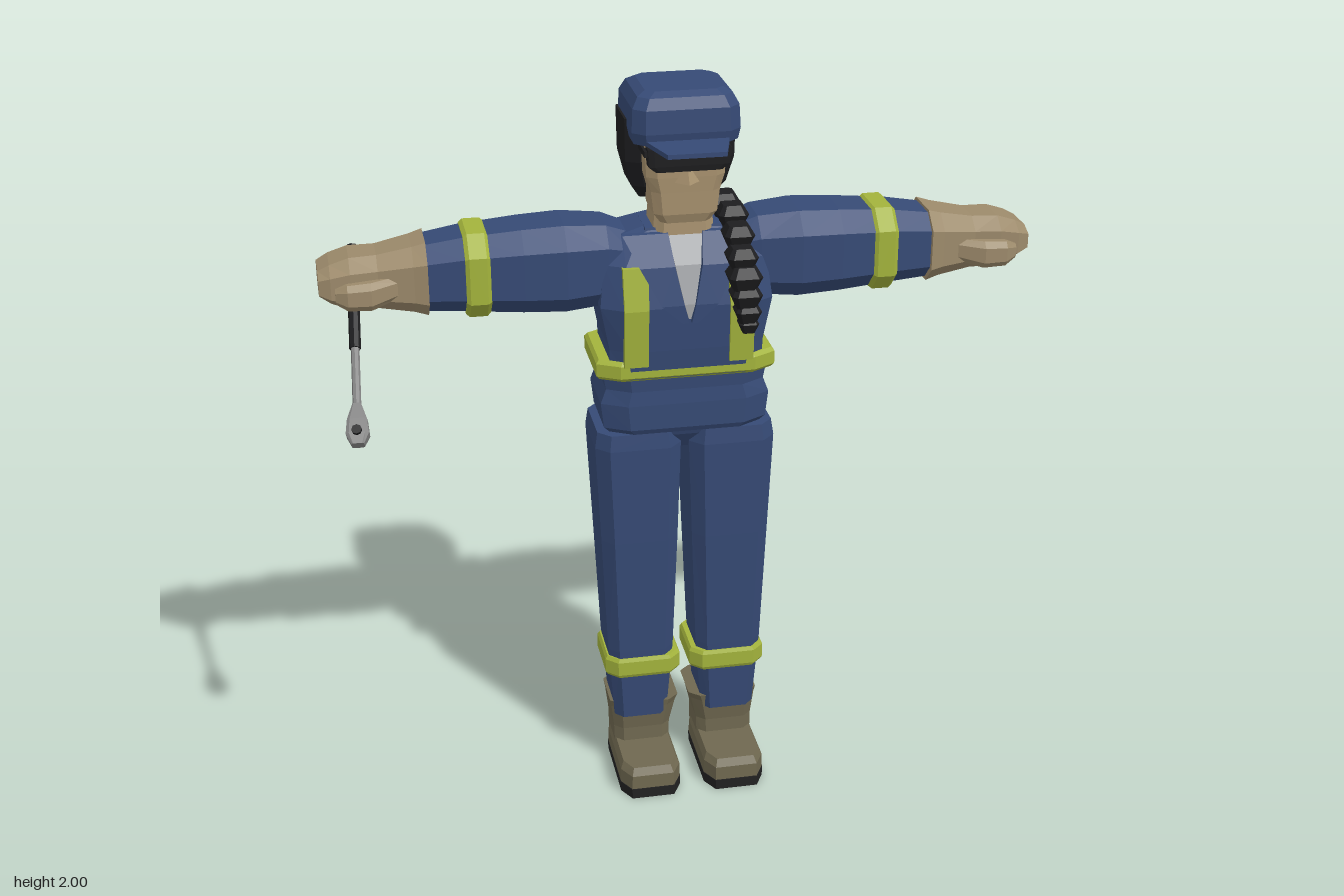
import * as THREE from 'three';

const paint = (name, color) => Object.assign(new THREE.MeshStandardMaterial({ color }), { name });
const M = {
  blue: paint('navy cloth', 0x364a75), yellow: paint('reflective yellow', 0xa3b33c),
  skin: paint('skin', 0xa8926f), glove: paint('tan leather', 0x9c8a6b), boot: paint('boot leather', 0x6f6850),
  sole: paint('sole rubber', 0x222222), black: paint('black hair and plastic', 0x1d1d1f),
  shirt: paint('grey shirt', 0xa3a5a8), metal: paint('tool steel', 0x858585),
};

// Closed faceted tube through sections [y, x, z, halfWidth, halfDepth]; c is the corner chamfer
function loft(sections, c = 0.3) {
  const k = 1 - c;
  const unit = c === 0 ? [[1, 1], [-1, 1], [-1, -1], [1, -1]]
    : [[1, k], [k, 1], [-k, 1], [-1, k], [-1, -k], [-k, -1], [k, -1], [1, -k]];
  const n = unit.length, p = [];
  const rings = sections.map(([y, x, z, w, d]) => unit.map(([u, v]) => [x + u * w, y, z + v * d]));
  const mid = ([y, x, z]) => [x, y, z];
  const last = rings.length - 1;
  for (let i = 0; i < n; i++) {
    const j = (i + 1) % n;
    for (let s = 0; s < last; s++) {
      const a = rings[s], b = rings[s + 1];
      p.push(...a[i], ...b[i], ...b[j], ...a[i], ...b[j], ...a[j]);
    }
    p.push(...mid(sections[0]), ...rings[0][i], ...rings[0][j]);
    p.push(...mid(sections[last]), ...rings[last][j], ...rings[last][i]);
  }
  const g = new THREE.BufferGeometry();
  g.setAttribute('position', new THREE.Float32BufferAttribute(p, 3));
  g.computeVertexNormals();
  return g;
}

// Same, running along +x through sections [x, y, z, halfHeight, halfDepth]
const loftX = (sections, c = 0.45) =>
  loft(sections.map(([x, y, z, h, d]) => [x, -y, z, h, d]), c).rotateZ(-Math.PI / 2);

// Mirror a geometry in x, keeping its faces outward
function mirror(geo) {
  const g = geo.index ? geo.toNonIndexed() : geo.clone();
  const a = g.attributes.position;
  for (let i = 0; i < a.count; i += 3) {
    const t = [0, 1, 2].map(j => [-a.getX(i + j), a.getY(i + j), a.getZ(i + j)]);
    [t[0], t[2], t[1]].forEach((v, j) => a.setXYZ(i + j, ...v));
  }
  g.computeVertexNormals();
  return g;
}

export function createModel() {
  const model = new THREE.Group();
  model.name = 'worker';
  const add = (name, geo, mat) => {
    const flat = geo.index ? geo.toNonIndexed() : geo;
    flat.computeVertexNormals();
    const m = new THREE.Mesh(flat, mat);
    m.name = name;
    model.add(m);
    return m;
  };
  const pair = (name, geo, mat) => {
    add('left' + name, geo, mat);
    add('right' + name, mirror(geo), mat);
  };
  const box = (w, h, d, x, y, z) => new THREE.BoxGeometry(w, h, d).translate(x, y, z);

  // Legs, knee bands and boots
  pair('Leg', loft([[0.18, 0.125, -0.09, 0.075, 0.085], [0.4, 0.125, -0.09, 0.092, 0.098],
    [0.75, 0.126, -0.093, 0.106, 0.115], [1.03, 0.128, -0.095, 0.117, 0.123], [1.075, 0.128, -0.095, 0.11, 0.118]]), M.blue);
  pair('LegBand', loft([[0.32, 0.12, -0.09, 0.1, 0.1], [0.33, 0.12, -0.09, 0.106, 0.105],
    [0.37, 0.12, -0.09, 0.106, 0.105], [0.38, 0.12, -0.09, 0.1, 0.1]]), M.yellow);
  pair('BootShaft', loft([[0.06, 0.12, -0.1, 0.078, 0.078], [0.13, 0.12, -0.1, 0.08, 0.075],
    [0.2, 0.116, -0.1, 0.092, 0.084], [0.22, 0.114, -0.1, 0.098, 0.088]]), M.boot);
  pair('BootFoot', loft([[0.03, 0.12, -0.02, 0.085, 0.158], [0.07, 0.12, -0.02, 0.084, 0.157],
    [0.09, 0.12, -0.025, 0.075, 0.148]]), M.boot);
  pair('BootSole', loft([[0, 0.12, -0.02, 0.085, 0.16], [0.03, 0.12, -0.02, 0.086, 0.16]]), M.sole);

  // Pelvis, jacket hem, belt and torso
  add('pelvis', loft([[1.01, 0, -0.095, 0.035, 0.07], [1.06, 0, -0.095, 0.13, 0.105],
    [1.1, 0, -0.095, 0.2, 0.12]]), M.blue);
  add('jacketHem', loft([[1.075, 0, -0.095, 0.205, 0.118], [1.09, 0, -0.095, 0.22, 0.126],
    [1.16, 0, -0.095, 0.228, 0.127], [1.2, 0, -0.095, 0.213, 0.124], [1.25, 0, -0.095, 0.222, 0.128]]), M.blue);
  add('belt', loft([[1.235, 0, -0.097, 0.232, 0.13], [1.245, 0, -0.097, 0.24, 0.138],
    [1.28, 0, -0.097, 0.24, 0.138], [1.29, 0, -0.097, 0.232, 0.13]], 0.25), M.yellow);
  add('torso', loft([[1.24, 0, -0.092, 0.205, 0.13], [1.32, 0, -0.09, 0.205, 0.138], [1.44, 0, -0.085, 0.228, 0.14],
    [1.55, 0, -0.095, 0.215, 0.125], [1.62, 0, -0.1, 0.16, 0.085], [1.635, 0, -0.1, 0.1, 0.07]], 0.25), M.blue);

  // Shirt opening, lapels and straps follow the chest slope
  add('shirt', loft([[1.41, 0, 0.055, 0.003, 0.006], [1.45, 0, 0.056, 0.014, 0.006],
    [1.55, 0, 0.032, 0.034, 0.006], [1.625, 0, -0.018, 0.046, 0.006]], 0), M.shirt);
  pair('Lapel', loft([[1.4, 0.012, 0.059, 0.008, 0.008], [1.45, 0.045, 0.06, 0.03, 0.008],
    [1.55, 0.082, 0.038, 0.046, 0.009], [1.625, 0.105, -0.012, 0.06, 0.01]], 0), M.blue);
  pair('ChestStrap', loft([[1.28, 0.14, 0.043, 0.032, 0.01], [1.44, 0.14, 0.055, 0.032, 0.01],
    [1.55, 0.138, 0.033, 0.034, 0.01]], 0), M.yellow);
  pair('CollarSide', loft([[1.58, 0.085, -0.085, 0.03, 0.07], [1.635, 0.085, -0.09, 0.016, 0.065]], 0), M.blue);

  // Crossed back straps, bowed outward in the middle
  const strap = new THREE.BoxGeometry(0.055, 0.37, 0.012, 1, 4, 1);
  const sp = strap.attributes.position;
  for (let i = 0; i < sp.count; i++) sp.setZ(i, sp.getZ(i) - 0.243 + 0.6 * sp.getY(i) ** 2);
  strap.rotateZ(0.75).translate(0, 1.425, 0);
  pair('BackStrap', strap, M.yellow);

  // Arms, sleeve bands and gloves
  pair('Sleeve', loftX([[0.14, 1.53, -0.1, 0.09, 0.09], [0.2, 1.535, -0.1, 0.108, 0.105],
    [0.31, 1.535, -0.1, 0.117, 0.12], [0.42, 1.535, -0.1, 0.112, 0.115],
    [0.57, 1.535, -0.1, 0.1, 0.104], [0.68, 1.53, -0.1, 0.088, 0.092]]), M.blue);
  pair('SleeveBand', loftX([[0.505, 1.533, -0.1, 0.105, 0.108], [0.515, 1.533, -0.1, 0.113, 0.115],
    [0.56, 1.533, -0.1, 0.113, 0.115], [0.57, 1.533, -0.1, 0.105, 0.108]]), M.yellow);
  pair('Glove', loftX([[0.665, 1.53, -0.1, 0.098, 0.107], [0.7, 1.53, -0.1, 0.088, 0.098],
    [0.79, 1.528, -0.1, 0.072, 0.083], [0.86, 1.528, -0.1, 0.07, 0.09],
    [0.91, 1.53, -0.1, 0.052, 0.09], [0.94, 1.532, -0.1, 0.034, 0.08]]), M.glove);
  pair('Thumb', loftX([[0.74, 1.52, -0.04, 0.03, 0.03], [0.81, 1.51, -0.012, 0.037, 0.032],
    [0.87, 1.51, -0.008, 0.034, 0.028], [0.9, 1.512, -0.015, 0.02, 0.018]]), M.glove);

  // Neck, head, nose and sunglasses
  add('neck', loft([[1.57, 0, -0.08, 0.085, 0.075], [1.68, 0, -0.08, 0.075, 0.07]]), M.skin);
  add('face', loft([[1.655, 0, -0.055, 0.065, 0.062], [1.68, 0, -0.055, 0.083, 0.072],
    [1.74, 0, -0.06, 0.09, 0.08], [1.78, 0, -0.06, 0.102, 0.083], [1.89, 0, -0.06, 0.108, 0.085]], 0.25), M.skin);
  add('nose', new THREE.ConeGeometry(0.034, 0.055, 4).translate(0, 1.795, 0.02), M.skin);
  add('sunglasses', loft([[1.805, 0, 0.035, 0.085, 0.018], [1.82, 0, 0.035, 0.104, 0.02],
    [1.865, 0, 0.035, 0.106, 0.02]], 0.15), M.black);
  pair('GlassesArm', box(0.01, 0.016, 0.1, 0.108, 1.85, -0.01), M.black);

  // Hair and braid hanging over the left shoulder
  add('hair', loft([[1.69, 0, -0.155, 0.1, 0.045], [1.73, 0, -0.145, 0.125, 0.072],
    [1.8, 0, -0.138, 0.143, 0.084], [1.915, 0, -0.135, 0.145, 0.09]], 0.25), M.black);
  [[0.118, 1.67, -0.085, 0.04], [0.128, 1.655, -0.03, 0.04], [0.13, 1.62, 0.035, 0.04], [0.13, 1.575, 0.08, 0.04],
    [0.135, 1.525, 0.09, 0.044], [0.14, 1.475, 0.09, 0.04], [0.145, 1.43, 0.09, 0.034], [0.148, 1.395, 0.088, 0.026]]
    .forEach(([x, y, z, r], i) => add('braidKnot' + (i + 1), loft([[y - r * 0.8, x, z, r * 0.6, r * 0.6],
      [y + r * 0.2, x, z, r, r], [y + r * 0.8, x, z, r * 0.65, r * 0.65]]), M.black));

  // Cap, brim and rear opening
  add('cap', loft([[1.87, 0, -0.093, 0.134, 0.128], [1.9, 0, -0.093, 0.14, 0.134], [1.96, 0, -0.093, 0.137, 0.13],
    [1.988, 0, -0.093, 0.122, 0.115], [2, 0, -0.093, 0.1, 0.093]], 0.22), M.blue);
  const brim = new THREE.Shape([[-0.115, 0], [0.115, 0], [0.1, -0.06], [0.075, -0.155], [-0.075, -0.155], [-0.1, -0.06]]
    .map(([x, y]) => new THREE.Vector2(x, y)));
  add('capBrim', new THREE.ExtrudeGeometry(brim, { depth: 0.012, bevelEnabled: false })
    .rotateX(-Math.PI / 2).translate(0, 1.87, 0), M.blue);
  add('capOpening', new THREE.CylinderGeometry(0.032, 0.032, 0.008, 8, 1, false, Math.PI / 2, Math.PI)
    .rotateX(-Math.PI / 2).translate(0, 1.905, -0.226), M.black);

  // Ratchet in the right hand, built along y and aimed forward and down
  const top = new THREE.Vector3(-0.845, 1.575, -0.18), end = new THREE.Vector3(-0.875, 1.23, 0.225);
  const dir = end.clone().sub(top), len = dir.length();
  const aim = new THREE.Quaternion().setFromUnitVectors(new THREE.Vector3(0, 1, 0), dir.normalize());
  const tool = (name, geo, mat) => add(name, geo.applyQuaternion(aim).translate(top.x, top.y, top.z), mat);
  tool('ratchetGrip', new THREE.CylinderGeometry(0.015, 0.015, 0.3, 8).translate(0, 0.14, 0), M.black);
  tool('ratchetHandle', new THREE.CylinderGeometry(0.011, 0.011, len - 0.33, 8).translate(0, 0.27 + (len - 0.33) / 2, 0), M.metal);
  tool('ratchetHead', loft([[len - 0.085, 0, 0, 0.011, 0.011], [len - 0.04, 0, 0, 0.025, 0.017],
    [len, 0, 0, 0.029, 0.019], [len + 0.028, 0, 0, 0.016, 0.014]]), M.metal);
  tool('ratchetSocket', new THREE.CylinderGeometry(0.013, 0.013, 0.055, 8).rotateX(Math.PI / 2)
    .translate(0, len - 0.005, 0), M.black);
  return model;
}
